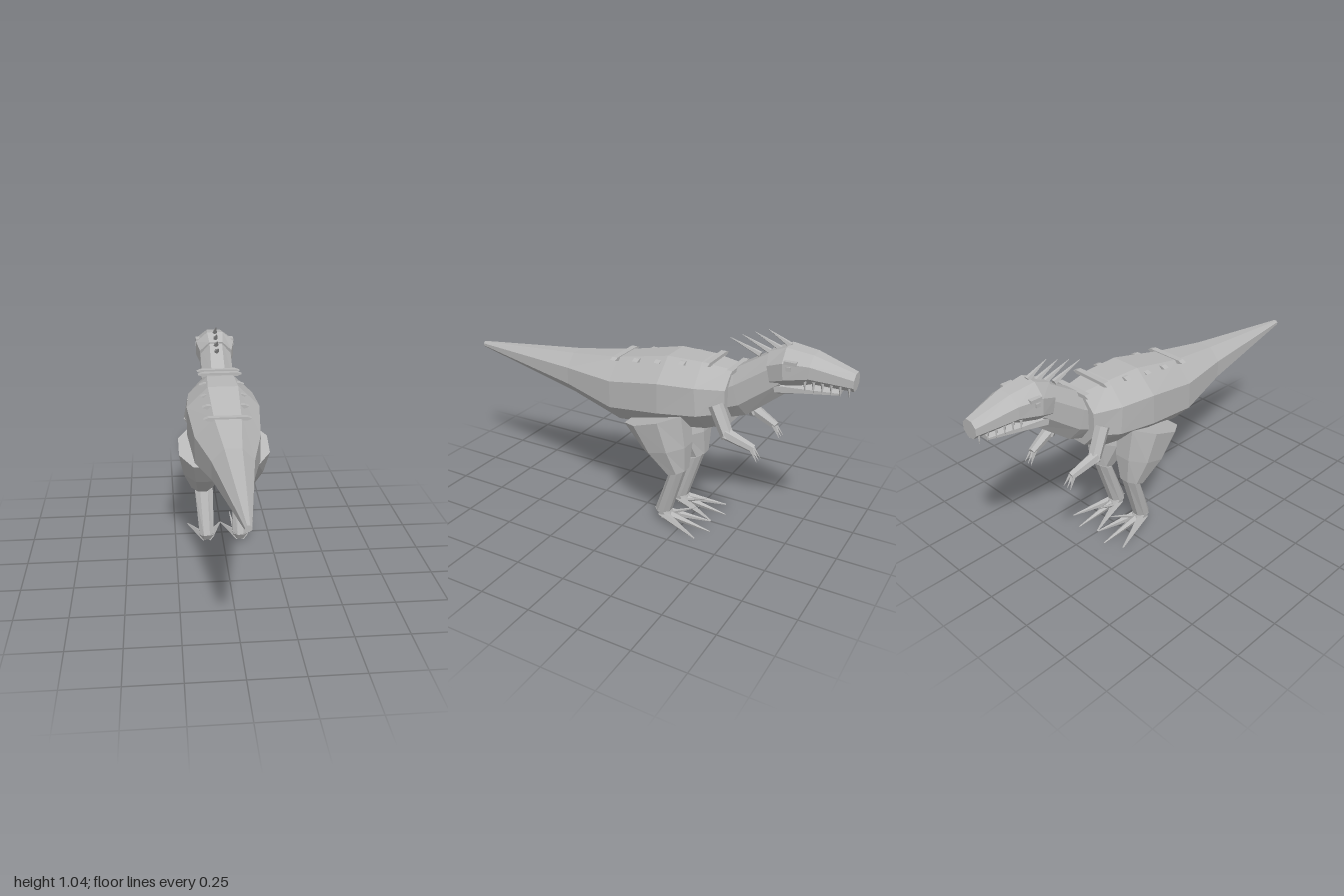
import * as THREE from 'three';

const SIDES = 8;

// Octagonal loft; each section is [zTop, yTop, zBottom, yBottom, halfWidth, centreX]
function loft(sections) {
  const pos = [], idx = [], k = Math.cos(Math.PI / SIDES);
  for (const [zt, yt, zb, yb, w, cx = 0] of sections) {
    for (let j = 0; j < SIDES; j++) {
      const a = (j + 0.5) * Math.PI * 2 / SIDES;
      const t = (Math.cos(a) / k + 1) / 2;
      pos.push(cx + w * Math.sin(a) / k, yb + (yt - yb) * t, zb + (zt - zb) * t);
    }
  }
  const last = (sections.length - 1) * SIDES;
  for (let i = 0; i < last; i += SIDES) {
    for (let j = 0; j < SIDES; j++) {
      const n = (j + 1) % SIDES;
      idx.push(i + j, i + n, i + SIDES + j, i + n, i + SIDES + n, i + SIDES + j);
    }
  }
  for (let j = 1; j < SIDES - 1; j++) {
    idx.push(0, j + 1, j, last, last + j, last + j + 1);
  }
  const g = new THREE.BufferGeometry();
  g.setAttribute('position', new THREE.Float32BufferAttribute(pos, 3));
  g.setIndex(idx);
  g.computeVertexNormals();
  return g;
}

// Tapered rod from a to b
function rod(a, b, ra, rb, sides = 6) {
  const p = new THREE.Vector3(...a), q = new THREE.Vector3(...b);
  const dir = q.clone().sub(p), len = dir.length();
  const g = new THREE.CylinderGeometry(rb, ra, len, sides);
  g.applyQuaternion(new THREE.Quaternion().setFromUnitVectors(new THREE.Vector3(0, 1, 0), dir.normalize()));
  const m = p.add(q).multiplyScalar(0.5);
  return g.translate(m.x, m.y, m.z);
}

export function createModel() {
  const model = new THREE.Group();
  model.name = 'dinosaur';
  const skin = new THREE.MeshStandardMaterial({ color: 0xb8b8b8, flatShading: true });
  skin.name = 'grey skin';
  const add = (name, geometry, parent = model) => {
    const mesh = new THREE.Mesh(geometry, skin);
    mesh.name = name;
    parent.add(mesh);
    return mesh;
  };

  // Tail and torso in one piece
  add('body', loft([
    [1, 0.702, 1, 0.675, 0.014],
    [0.4, 0.76, 0.4, 0.555, 0.095],
    [0.12, 0.80, 0.12, 0.48, 0.155],
    [-0.15, 0.86, -0.15, 0.51, 0.18],
    [-0.32, 0.86, -0.35, 0.54, 0.165],
    [-0.46, 0.845, -0.46, 0.58, 0.12],
  ]));

  add('neck', loft([
    [-0.42, 0.82, -0.46, 0.61, 0.085],
    [-0.46, 0.845, -0.53, 0.635, 0.085],
    [-0.65, 0.965, -0.71, 0.78, 0.08],
  ]));

  add('head', loft([
    [-0.62, 0.955, -0.66, 0.79, 0.085],
    [-0.70, 0.99, -0.72, 0.81, 0.102],
    [-0.82, 0.975, -0.82, 0.845, 0.085],
    [-1, 0.92, -1, 0.84, 0.042],
  ]));

  add('lowerJaw', loft([
    [-0.66, 0.845, -0.68, 0.77, 0.08],
    [-0.78, 0.84, -0.78, 0.79, 0.065],
    [-0.94, 0.832, -0.94, 0.812, 0.035],
  ]));

  // Crest of thin spikes swept back from the nape
  for (let i = 0; i < 4; i++) {
    const z = -0.57 - i * 0.045, y = 0.92 + i * 0.022;
    add('crestSpike', rod([0, y, z], [0, y + 0.055, z + 0.15 - i * 0.015], 0.014, 0.001, 5));
  }

  // Pointed bars lying across the back
  const barShape = new THREE.Shape([
    [-0.112, 0], [-0.09, -0.009], [0.09, -0.009], [0.112, 0], [0.09, 0.009], [-0.09, 0.009],
  ].map(([x, y]) => new THREE.Vector2(x, y)));
  const barGeometry = new THREE.ExtrudeGeometry(barShape, { depth: 0.028, bevelEnabled: false });
  barGeometry.translate(0, 0, -0.014);
  for (const [z, y] of [[0.125, 0.797], [0.005, 0.813], [-0.11, 0.828], [-0.235, 0.845], [-0.355, 0.861], [-0.465, 0.845]]) {
    add('backPlate', barGeometry).position.set(0, y, z);
  }

  for (const s of [1, -1]) {
    const side = new THREE.Group();
    side.name = s > 0 ? 'leftSide' : 'rightSide';
    model.add(side);
    const X = (p) => [p[0] * s, p[1], p[2]];
    const limb = (name, a, b, ra, rb, n) => add(name, rod(X(a), X(b), ra, rb, n), side);

    // Brow and eye
    add('brow', new THREE.BoxGeometry(0.025, 0.014, 0.055), side).position.set(0.09 * s, 0.943, -0.74);
    add('eye', new THREE.BoxGeometry(0.016, 0.018, 0.02), side).position.set(0.096 * s, 0.918, -0.735);

    // Teeth along the upper jaw
    for (let i = 0; i < 6; i++) {
      const z = -0.80 - i * 0.036, x = 0.068 - i * 0.007;
      limb('tooth', [x, 0.865, z], [x, 0.818, z - 0.004], 0.008, 0.001, 4);
    }

    // Leg: sections run downward, from front edge to back edge
    add('thigh', loft([
      [-0.265, 0.615, 0.035, 0.515, 0.115, 0.11 * s],
      [-0.28, 0.45, -0.055, 0.395, 0.10, 0.102 * s],
      [-0.275, 0.32, -0.175, 0.285, 0.056, 0.105 * s],
    ]), side);
    add('shin', loft([
      [-0.262, 0.31, -0.185, 0.28, 0.047, 0.097 * s],
      [-0.18, 0.05, -0.105, 0.06, 0.037, 0.088 * s],
    ]), side);
    add('foot', loft([
      [-0.185, 0.06, -0.105, 0.065, 0.038, 0.088 * s],
      [-0.20, 0.02, -0.13, 0.025, 0.034, 0.088 * s],
    ]), side);
    for (const [x, z] of [[0.18, -0.36], [0.09, -0.4], [0.002, -0.36]]) {
      limb('toe', [0.088 + (x - 0.09) * 0.15, 0.04, -0.14], [x, 0.005, z], 0.024, 0.003, 5);
    }
    limb('innerToe', [0.07, 0.025, -0.155], [0.045, 0.095, -0.315], 0.014, 0.001, 5);

    // Arm
    limb('upperArm', [0.135, 0.70, -0.425], [0.155, 0.565, -0.50], 0.034, 0.03);
    limb('forearm', [0.157, 0.585, -0.485], [0.135, 0.53, -0.615], 0.03, 0.019);
    for (const dx of [-0.022, 0, 0.022]) {
      limb('handClaw', [0.135 + dx * 0.4, 0.535, -0.605], [0.135 + dx, 0.48, -0.642], 0.01, 0.001, 4);
    }
  }
  return model;
}
